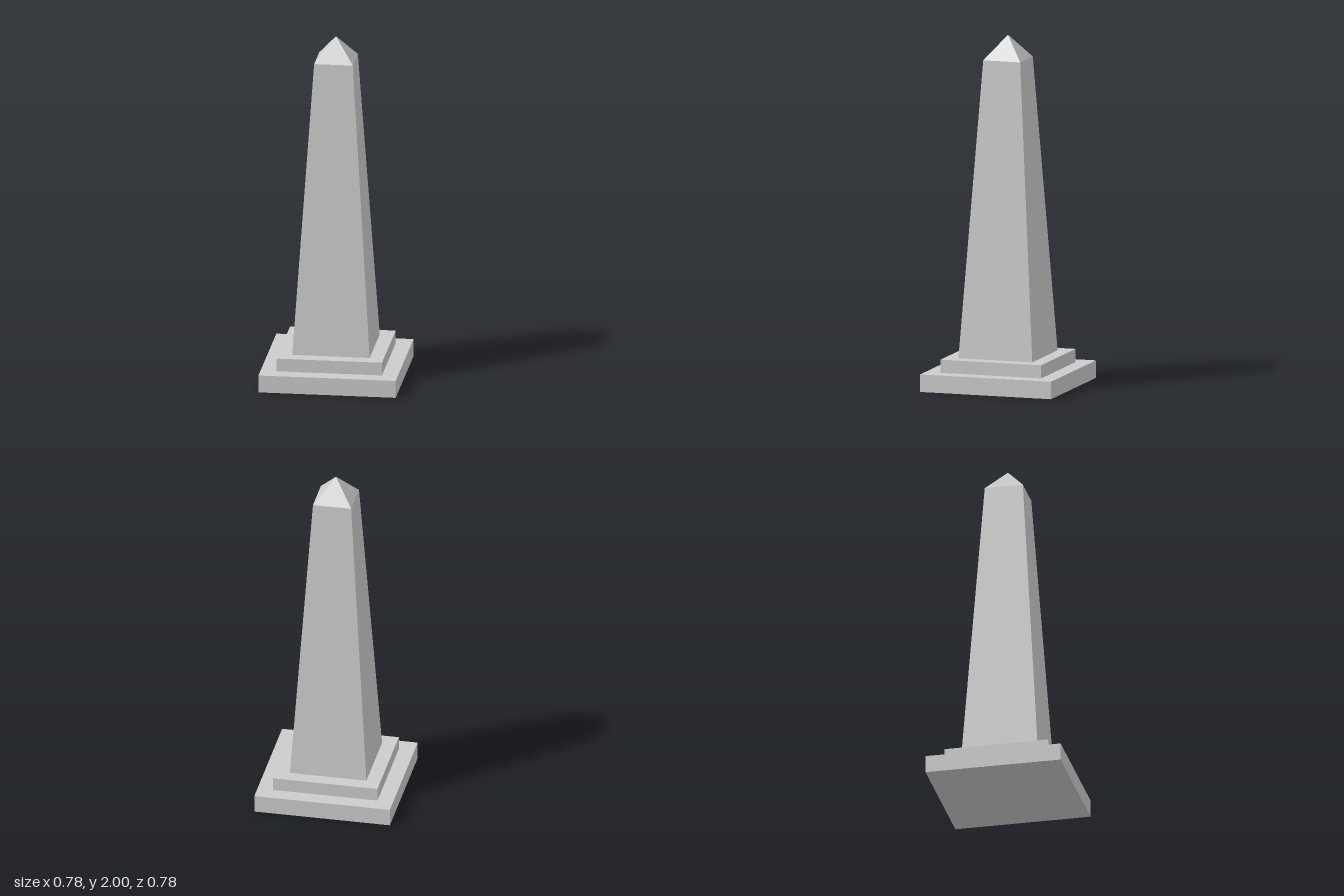
import * as THREE from 'three';

const material = new THREE.MeshStandardMaterial({ color: 0xcccccc, flatShading: true });

// Square block from y0 to y1, tapering from one half-width to another
function squareBlock(name, y0, y1, halfBottom, halfTop, openEnded = false) {
  const geometry = new THREE.CylinderGeometry(
    halfTop * Math.SQRT2, halfBottom * Math.SQRT2, y1 - y0, 4, 1, openEnded, Math.PI / 4);
  geometry.translate(0, (y0 + y1) / 2, 0);
  const mesh = new THREE.Mesh(geometry, material);
  mesh.name = name;
  return mesh;
}

export function createModel() {
  const group = new THREE.Group();
  group.name = 'obelisk';
  group.add(
    // Two-step pedestal
    squareBlock('plinth', 0, 0.1, 0.39, 0.39),
    squareBlock('step', 0.1, 0.175, 0.3, 0.3),
    // Tapered shaft with its pyramid tip
    squareBlock('shaft', 0.175, 1.865, 0.22, 0.11, true),
    squareBlock('capstone', 1.865, 2, 0.11, 0, true),
  );
  return group;
}
